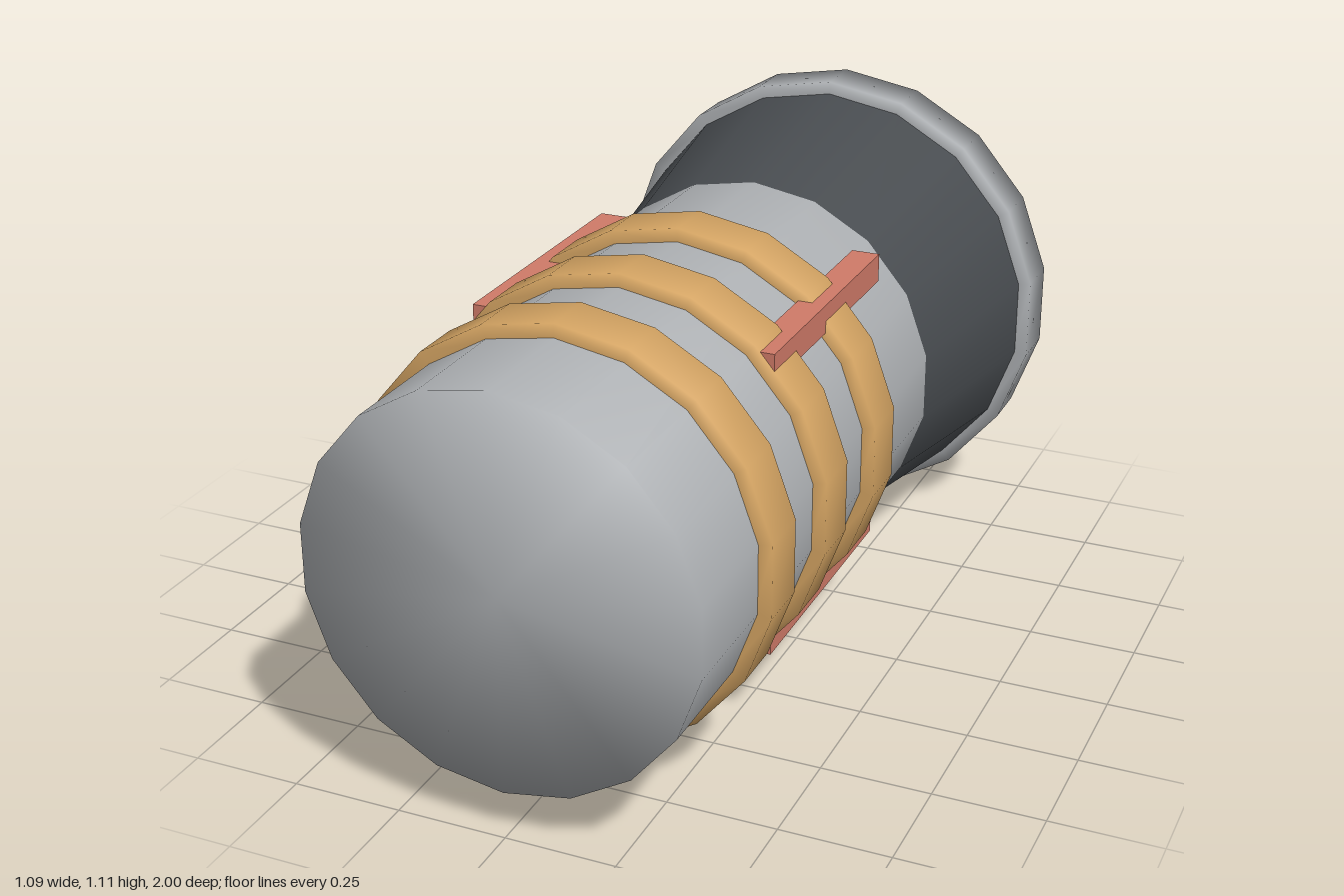
import * as THREE from 'three';

const SIDES = 18;
const CENTRE_Y = 0.555;

const paint = (name, color) => {
  const m = new THREE.MeshStandardMaterial({ color });
  m.name = name;
  return m;
};

export function createModel() {
  const grey = paint('grey metal', 0xabaeb1);
  const dark = paint('dark metal', 0x484c50);
  const brass = paint('brass', 0xd3a362);
  const red = paint('red', 0xce6156);
  const coral = paint('coral', 0xcf7a68);

  const model = new THREE.Group();
  model.name = 'ringedCanister';

  const add = (name, geometry, material, x = 0, y = 0, z = 0) => {
    const mesh = new THREE.Mesh(geometry, material);
    mesh.name = name;
    mesh.position.set(x, y + CENTRE_Y, z);
    model.add(mesh);
    return mesh;
  };

  // Turned part along z; profile is [radius, z] from back to front
  const turned = (profile) => new THREE.LatheGeometry(
    profile.map(([r, z]) => new THREE.Vector2(r, z)), SIDES).rotateX(Math.PI / 2);

  // Main barrel with a softly shaded front cap
  add('barrel', turned([[0.446, -0.33], [0.446, 1], [0, 1]]), grey);

  // Flared tail and its rim
  add('flare', turned([[0.526, -0.83], [0.446, -0.32]]), dark);
  add('rim', turned([[0, -0.945], [0.555, -0.945], [0.555, -0.82], [0.52, -0.82]]), grey);

  // Faceted rear plate
  const plate = new THREE.CylinderGeometry(0.384, 0.384, 0.07, SIDES).toNonIndexed();
  plate.computeVertexNormals();
  add('rearPlate', plate.rotateX(Math.PI / 2), red, 0, 0, -0.965);

  // Three bands around the barrel
  for (const z of [0.66, 0.36, 0.06]) {
    add('band', turned([
      [0.44, z - 0.062], [0.477, z - 0.062], [0.477, z + 0.062], [0.44, z + 0.062],
    ]), brass);
  }

  // Four lengthwise rails
  for (const sx of [-1, 1]) {
    for (const sy of [-1, 1]) {
      add('rail', new THREE.BoxGeometry(0.065, 0.065, 0.64), coral, sx * 0.317, sy * 0.32, 0.1);
    }
  }

  return model;
}
